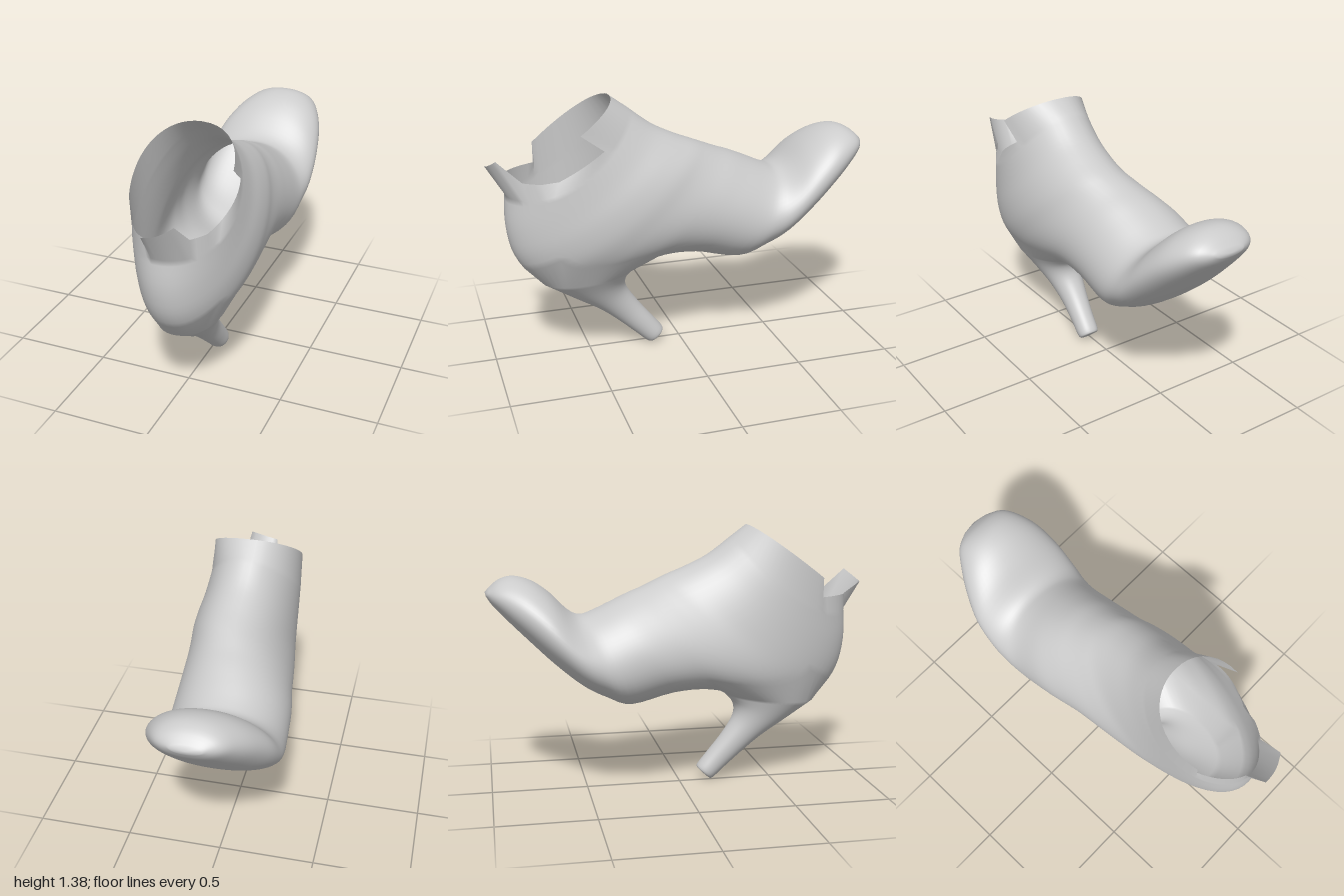
import * as THREE from 'three';

const COLS = 56, BOTTOM = COLS / 2;
// Rows and half columns of the underside patch that the heel grows from
const BACK_ROW = 11, FRONT_ROW = 24, HALF = 8;

// Uniform Catmull-Rom through rows of numbers, "steps" rows per span.
function refine(rows, steps) {
  const out = [];
  const at = i => rows[Math.min(Math.max(i, 0), rows.length - 1)];
  for (let i = 0; i < rows.length - 1; i++) {
    for (let k = 0; k < steps; k++) {
      const t = k / steps;
      out.push(rows[i].map((b, n) => {
        const a = at(i - 1)[n], c = at(i + 1)[n], d = at(i + 2)[n];
        return b + 0.5 * t * (c - a + t * (2 * a - 5 * b + 4 * c - d + t * (3 * (b - c) + d - a)));
      }));
    }
  }
  out.push(rows[rows.length - 1]);
  return out;
}

// Point at an angle round a section; angle 0 is its first end, PI its second.
// Section: z, y of both ends, centre x, half width, egg shape, sag at the sides.
function sectionPoint([z0, y0, z1, y1, cx, hw, egg = 0, sag = 0], a) {
  const s = Math.sin(a), c = Math.cos(a), f = (1 - c) / 2;
  const x = cx + hw * Math.sign(s) * Math.abs(s) ** 0.94 * (1 + egg * c);
  return [x, y0 + (y1 - y0) * f - sag * s * s, z0 + (z1 - z0) * f];
}

const ring = (section, n) => Array.from({ length: n },
  (_, j) => sectionPoint(section, (j / n) * Math.PI * 2));

// Stepped ankle edge: tall front, notched left side, pull tab at the back.
function rimRing() {
  const opening = [0.37, 1.38, 0.91, 1.01, 0.035, 0.235, 0.13];
  return Array.from({ length: COLS }, (_, j) => {
    const a = (j / COLS) * Math.PI * 2, f = (1 - Math.cos(a)) / 2;
    // pointed flap on the left, leaning back over the notch
    if (j <= 9) return sectionPoint(opening, a * 1.28);
    const [x, y, z] = sectionPoint(opening, a);
    if (f > 0.85 && x > 0 && x < 0.17) return [x, y + 0.055 + 0.2 * (x - 0.01), z + 0.088];
    if (j <= 18) return [x, 1.16 - 0.14 * (j - 10) / 8, 0.45 + 0.22 * (j - 10) / 8];
    if (j > BOTTOM && f < 0.7) return [x, y - 0.03 * f, z];
    return [x, Math.min(y, 1.01), z - 0.12 * (1 - f)];
  });
}

// Upper and sole, fanning from the ankle round to the raised toe
const bodySections = [
  [0.28, 1.315, 0.908, 0.92, 0.037, 0.24, 0.13, 0.11],
  [0.16, 1.225, 0.915, 0.76, 0.045, 0.25, 0.12, 0.09],
  [0.04, 1.165, 0.88, 0.60, 0.052, 0.262, 0.10, 0.06],
  [-0.06, 1.125, 0.785, 0.48, 0.05, 0.27, 0.07, 0.035],
  [-0.13, 1.095, 0.60, 0.43, 0.035, 0.275, 0.04, 0.015],
  [-0.20, 1.065, 0.38, 0.46, 0.02, 0.28, -0.01, 0],
  [-0.28, 1.035, 0.16, 0.515, 0.005, 0.285, -0.05, 0],
  [-0.37, 0.995, -0.04, 0.515, -0.01, 0.295, -0.08, 0],
  [-0.47, 0.95, -0.27, 0.465, -0.015, 0.30, -0.1, 0],
  [-0.53, 0.935, -0.40, 0.51, -0.018, 0.305, -0.1, 0],
  [-0.59, 0.965, -0.52, 0.575, -0.015, 0.31, -0.1, 0],
  [-0.68, 1.055, -0.66, 0.69, -0.01, 0.30, -0.1, 0],
  [-0.77, 1.115, -0.80, 0.825, 0.005, 0.26, -0.1, 0],
  [-0.86, 1.138, -0.90, 0.925, 0.015, 0.205, -0.1, 0],
  [-0.93, 1.12, -0.965, 0.995, 0.018, 0.15, -0.05, 0],
  [-0.98, 1.08, -0.995, 1.04, 0.018, 0.075, 0, 0],
];

// Slanted heel below the patch
const heelSections = [
  [0.255, 0.475, 0.745, 0.425, 0.035, 0.165],
  [0.30, 0.42, 0.58, 0.318, 0.025, 0.122],
  [0.30, 0.35, 0.45, 0.235, 0.018, 0.092],
  [0.24, 0.255, 0.35, 0.155, 0.016, 0.072],
  [0.165, 0.16, 0.255, 0.07, 0.02, 0.062],
  [0.105, 0.085, 0.195, 0.015, 0.022, 0.058],
  [0.105, 0.065, 0.175, 0.003, 0.022, 0.045],
];

export function createModel() {
  const points = [], index = [];

  // Join two vertex loops with quads
  const quad = (a, b, c, d) => index.push(a, b, c, b, d, c);
  const addLoop = pts => pts.map(p => points.push(p) - 1);
  const close = (loop, end) => {
    const tip = points.push(end) - 1;
    loop.forEach((a, j) => index.push(a, loop[(j + 1) % loop.length], tip));
  };

  // Body skin, leaving the heel patch open
  const rows = [rimRing(), ...refine(bodySections, 4).map(s => ring(s, COLS))].map(addLoop);
  for (let i = 0; i < rows.length - 1; i++) {
    for (let j = 0; j < COLS; j++) {
      const inPatch = i >= BACK_ROW && i < FRONT_ROW && j >= BOTTOM - HALF && j < BOTTOM + HALF;
      const k = (j + 1) % COLS;
      if (!inPatch) quad(rows[i][j], rows[i][k], rows[i + 1][j], rows[i + 1][k]);
    }
  }
  close(rows[rows.length - 1], [0.018, 1.06, -1]);

  // Edge of the patch, from the front middle round by the left side
  let loop = [];
  for (let j = BOTTOM; j > BOTTOM - HALF; j--) loop.push(rows[FRONT_ROW][j]);
  for (let i = FRONT_ROW; i > BACK_ROW; i--) loop.push(rows[i][BOTTOM - HALF]);
  for (let j = BOTTOM - HALF; j < BOTTOM + HALF; j++) loop.push(rows[BACK_ROW][j]);
  for (let i = BACK_ROW; i < FRONT_ROW; i++) loop.push(rows[i][BOTTOM + HALF]);
  for (let j = BOTTOM + HALF; j > BOTTOM; j--) loop.push(rows[FRONT_ROW][j]);

  // Heel skin, grown from that edge
  const n = loop.length;
  for (const section of refine(heelSections, 4)) {
    const next = addLoop(ring(section, n));
    for (let j = 0; j < n; j++) quad(loop[j], loop[(j + 1) % n], next[j], next[(j + 1) % n]);
    loop = next;
  }
  close(loop, [0.022, 0.03, 0.138]);

  const geometry = new THREE.BufferGeometry();
  geometry.setAttribute('position', new THREE.Float32BufferAttribute(points.flat(), 3));
  geometry.setIndex(index);
  geometry.computeVertexNormals();
  const boot = new THREE.Mesh(geometry,
    new THREE.MeshStandardMaterial({ color: 0xcccccc, side: THREE.DoubleSide }));
  boot.name = 'bootShell';

  const group = new THREE.Group();
  group.name = 'heeledAnkleBoot';
  group.add(boot);
  return group;
}
